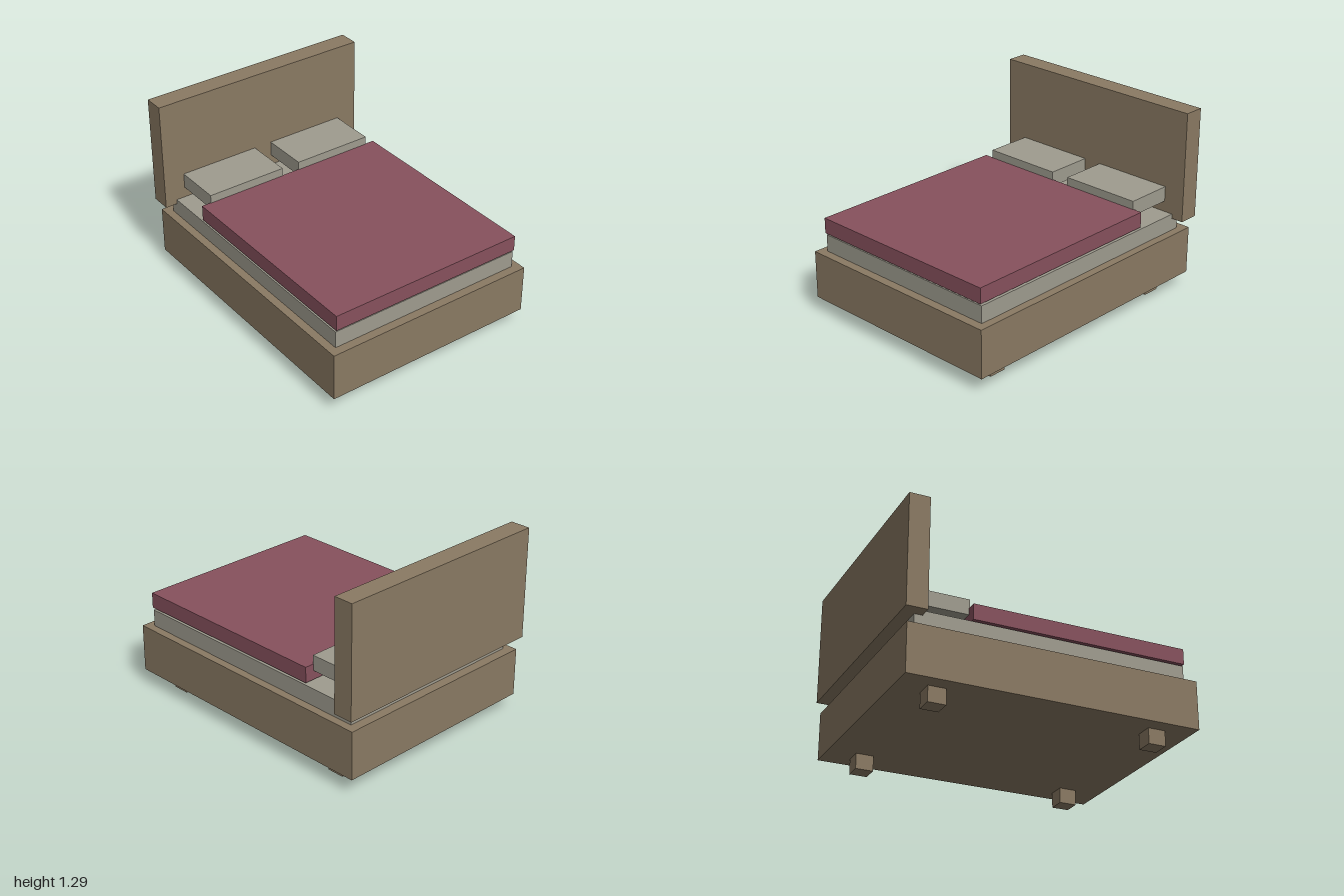
import * as THREE from 'three';

export function createModel() {
  const bed = new THREE.Group();
  bed.name = 'bed';

  const material = (name, color) => {
    const m = new THREE.MeshStandardMaterial({ color });
    m.name = name;
    return m;
  };
  const wood = material('brown wood', 0x8a7a63);
  const linen = material('pale grey linen', 0x9f9c8f);
  const blanket = material('wine red blanket', 0x87515d);

  // Box given by its extents along each axis
  const addBox = (name, mat, [x0, x1], [y0, y1], [z0, z1]) => {
    const mesh = new THREE.Mesh(new THREE.BoxGeometry(x1 - x0, y1 - y0, z1 - z0), mat);
    mesh.position.set((x0 + x1) / 2, (y0 + y1) / 2, (z0 + z1) / 2);
    mesh.name = name;
    bed.add(mesh);
  };

  // Base and headboard
  addBox('frame', wood, [-0.76, 0.76], [0.105, 0.437], [-0.98, 1]);
  addBox('headboard', wood, [-0.79, 0.79], [0.523, 1.29], [-1, -0.86]);

  // Bedding
  addBox('mattress', linen, [-0.705, 0.705], [0.437, 0.555], [-0.915, 0.94]);
  addBox('duvet', blanket, [-0.705, 0.705], [0.57, 0.677], [-0.53, 0.95]);

  // Mirrored pillows and legs
  for (const [side, s] of [['left', 1], ['right', -1]]) {
    const span = (a, b) => (s > 0 ? [a, b] : [-b, -a]);
    addBox(side + 'Pillow', linen, span(0.066, 0.639), [0.63, 0.735], [-0.87, -0.525]);
    addBox(side + 'FrontLeg', wood, span(0.535, 0.653), [0, 0.105], [0.695, 0.815]);
    addBox(side + 'BackLeg', wood, span(0.535, 0.653), [0, 0.105], [-0.795, -0.675]);
  }

  return bed;
}
